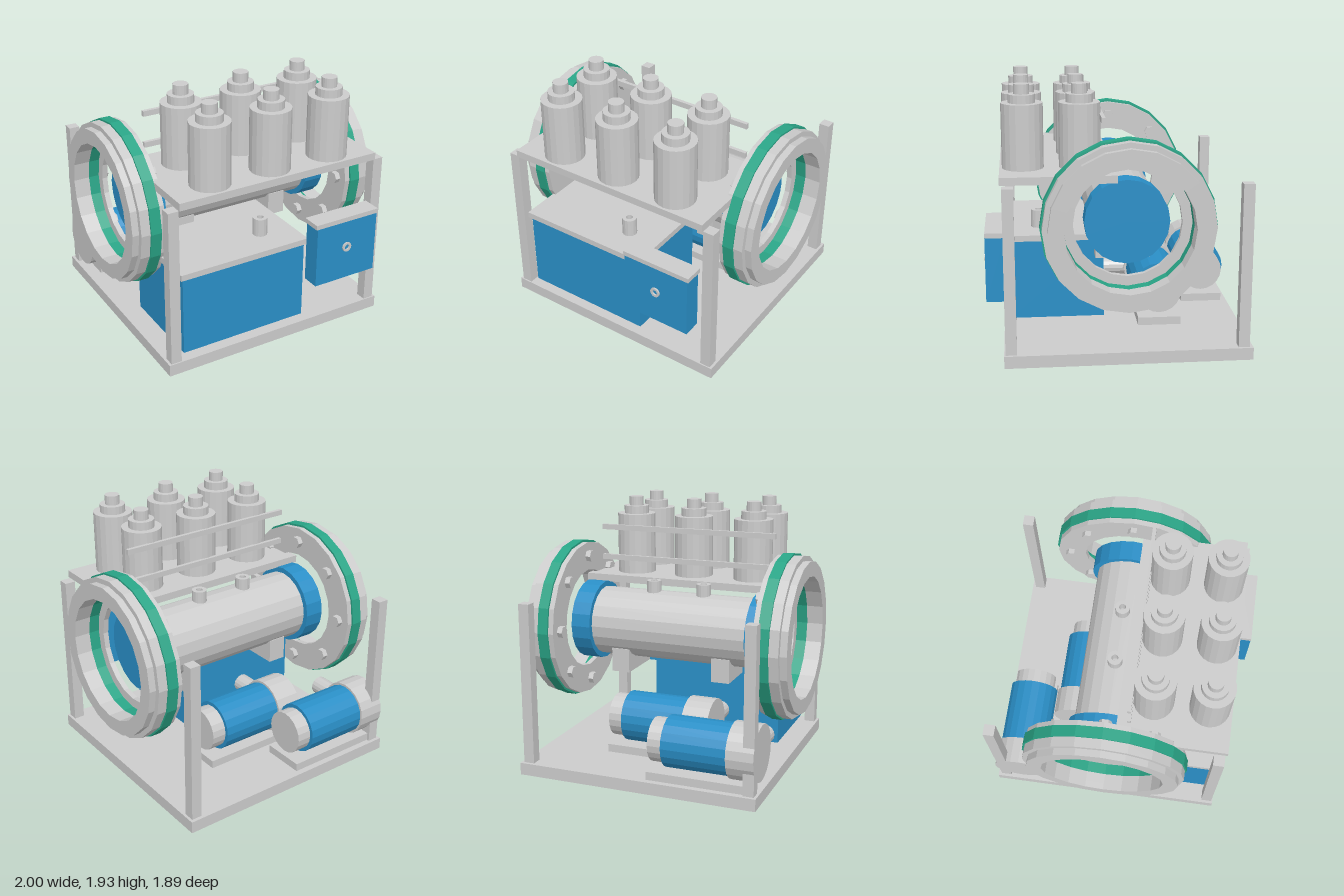
import * as THREE from 'three';

const paint = (color) => new THREE.MeshStandardMaterial({ color, flatShading: true });
const SIDES = 20;

export function createModel() {
  const model = new THREE.Group();
  const grey = paint(0xcccccc), blue = paint(0x2a8fc7), green = paint(0x2aa587);

  const add = (parent, name, geometry, material) => {
    const mesh = new THREE.Mesh(geometry, material);
    mesh.name = name;
    parent.add(mesh);
    return mesh;
  };
  // Box given by its limits on each axis
  const box = (name, x0, x1, y0, y1, z0, z1, material = grey) =>
    add(model, name, new THREE.BoxGeometry(x1 - x0, y1 - y0, z1 - z0), material)
      .position.set((x0 + x1) / 2, (y0 + y1) / 2, (z0 + z1) / 2);
  // Upright cylinder between two heights
  const upright = (parent, name, r, x, z, y0, y1) =>
    add(parent, name, new THREE.CylinderGeometry(r, r, y1 - y0, SIDES), grey)
      .position.set(x, (y0 + y1) / 2, z);
  // Cylinder lying along x
  const lying = (parent, name, r, x0, x1, y, z, material = grey, sides = SIDES) =>
    add(parent, name, new THREE.CylinderGeometry(r, r, x1 - x0, sides).rotateZ(-Math.PI / 2), material)
      .position.set((x0 + x1) / 2, y, z);
  // Ring of rectangular section around y, from y0 to y1
  const ringGeometry = (inner, outer, y0, y1, sides = SIDES) => new THREE.LatheGeometry(
    [[inner, y0], [outer, y0], [outer, y1], [inner, y1], [inner, y0]].map(([r, y]) => new THREE.Vector2(r, y)), sides);

  // Frame: base, corner posts and upper shelf
  box('base', -0.9, 0.9, 0, 0.09, -0.94, 0.82);
  for (const x of [-0.84, 0.84]) {
    for (const z of [-0.875, 0.77]) box('post', x - 0.04, x + 0.04, 0.09, 1.28, z - 0.04, z + 0.04);
  }
  box('shelf', -0.8, 0.8, 1.285, 1.34, 0.02, 0.825);

  // Stepped canisters on the shelf, with rails behind
  for (const x of [-0.48, 0, 0.48]) {
    for (const z of [0.26, 0.66]) {
      const canister = new THREE.Group();
      canister.name = 'canister';
      upright(canister, 'canisterBody', 0.147, x, z, 1.34, 1.8);
      upright(canister, 'canisterNeck', 0.095, x, z, 1.8, 1.86);
      upright(canister, 'canisterTip', 0.055, x, z, 1.86, 1.93);
      model.add(canister);
    }
  }
  for (const y of [1.465, 1.7]) box('rail', -0.7, 0.7, y - 0.02, y + 0.02, 0.095, 0.122);

  // Main vessel with end collars, saddles and nozzles
  const axisY = 1, axisZ = -0.05;
  lying(model, 'vessel', 0.26, -0.62, 0.62, axisY, axisZ);
  for (const s of [-1, 1]) {
    lying(model, 'vesselCollar', 0.3, s * 0.685 - 0.075, s * 0.685 + 0.075, axisY, axisZ, blue);
    box('saddle', s * 0.4 - 0.07, s * 0.4 + 0.07, 0.65, 0.83, -0.25, 0.15);
    add(model, 'nozzle', ringGeometry(0.025, 0.055, 1.22, 1.34, 16), grey).position.set(s * 0.2, 0, -0.06);
    lying(model, 'nozzleFloor', 0.02, s * 0.2 - 0.01, s * 0.2 + 0.01, 1.24, -0.06);
  }

  // End ring assemblies: bolted flange, gasket band and stepped outer rings
  for (const turn of [0, Math.PI]) {
    const end = new THREE.Group();
    end.name = 'endRing';
    const ring = (name, inner, outer, x0, x1, material) =>
      add(end, name, ringGeometry(inner, outer, x0, x1).rotateZ(-Math.PI / 2), material);
    ring('boltFlange', 0.38, 0.595, 0.76, 0.8, grey);
    ring('gasketBand', 0.45, 0.61, 0.8, 0.88, green);
    ring('outerRing', 0.45, 0.597, 0.88, 0.95, grey);
    ring('ringLip', 0.45, 0.56, 0.95, 1, grey);
    for (let i = 0; i < 8; i++) {
      const a = i * Math.PI / 4;
      lying(end, 'bolt', 0.045, 0.72, 0.765, 0.49 * Math.sin(a), 0.49 * Math.cos(a), grey, 6);
    }
    end.position.set(0, axisY, axisZ);
    end.rotation.y = turn;
    model.add(end);
  }

  // Tank with lid and filler pipe
  box('tank', -0.76, 0.24, 0.12, 0.725, 0.07, 0.77, blue);
  box('tankLid', -0.78, 0.26, 0.725, 0.77, 0.05, 0.79);
  add(model, 'fillerPipe', ringGeometry(0.025, 0.055, 0.77, 0.905, 16), grey).position.set(0, 0, 0.55);

  // Control box with cover and button
  box('controlBox', 0.24, 0.76, 0.445, 0.91, 0.8, 0.935, blue);
  box('controlBoxCover', 0.23, 0.77, 0.91, 0.945, 0.79, 0.935);
  add(model, 'buttonRing', ringGeometry(0.02, 0.037, 0.925, 0.947, 16).rotateX(Math.PI / 2), grey)
    .position.set(0.5, 0.705, 0);

  // Two pump motors on pads, each with an outlet pipe towards the front
  for (const [x, z] of [[-0.88, -0.735], [-0.4, -0.335]]) {
    const motor = new THREE.Group(), y = 0.345;
    motor.name = 'motor';
    lying(motor, 'pumpHousing', 0.205, x, x + 0.2, y, z);
    lying(motor, 'motorBody', 0.188, x + 0.2, x + 0.68, y, z, blue);
    lying(motor, 'motorEndCap', 0.16, x + 0.68, x + 0.79, y, z);
    add(motor, 'outletPipe', new THREE.CylinderGeometry(0.07, 0.07, 0.4, 16).rotateX(Math.PI / 2), grey)
      .position.set(x + 0.1, y - 0.01, z + 0.2);
    model.add(motor);
    box('motorPad', x + 0.08, x + 0.8, 0.09, 0.15, z - 0.16, z + 0.16);
  }

  return model;
}
